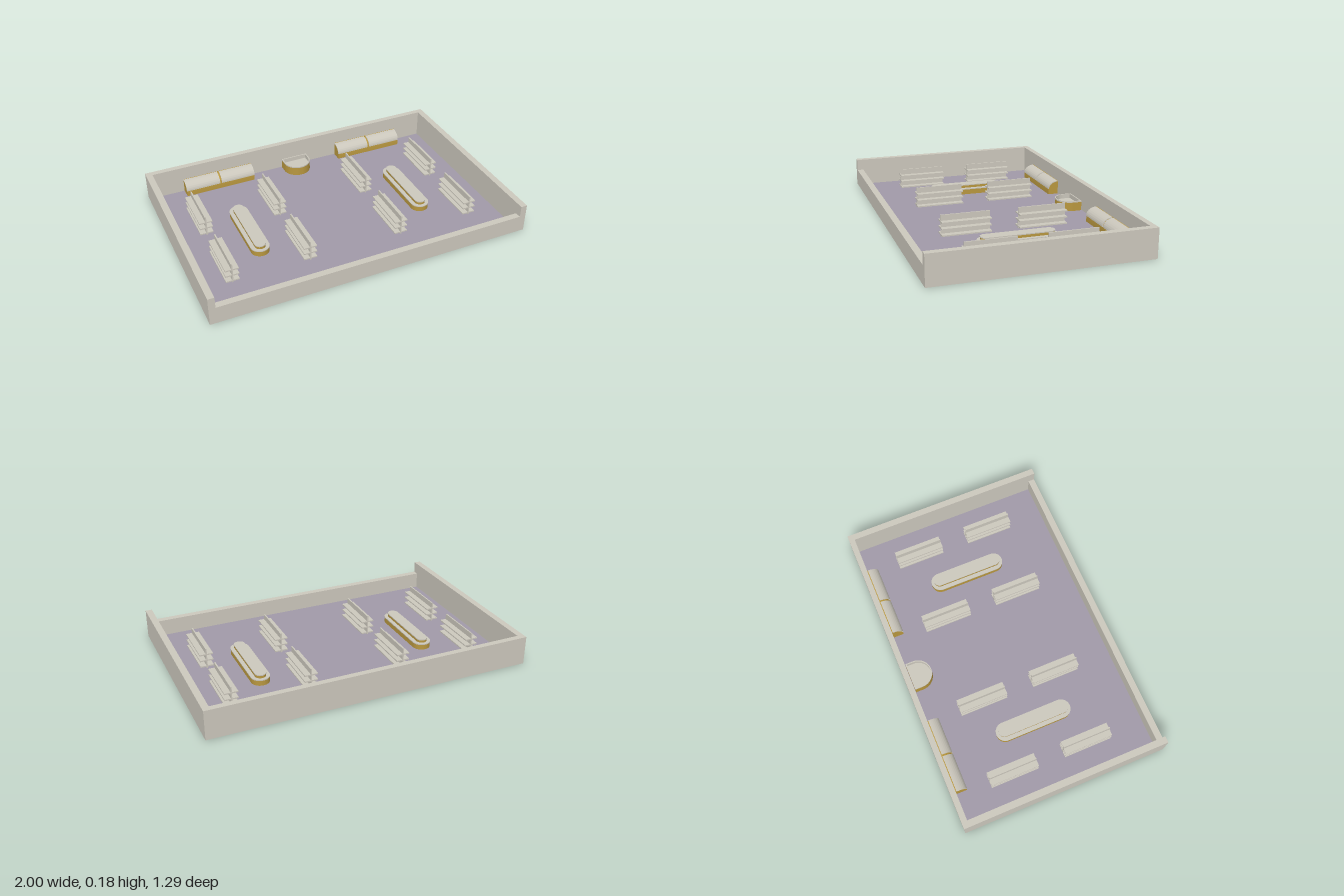
import * as THREE from 'three';
import { toCreasedNormals } from 'three/addons/utils/BufferGeometryUtils.js';

const FLOOR = 0.005;

export function createModel() {
  const stone = new THREE.MeshStandardMaterial({ color: 0xcbc7bc });
  stone.name = 'stone';
  const carpet = new THREE.MeshStandardMaterial({ color: 0xa099a7 });
  carpet.name = 'carpet';
  const wood = new THREE.MeshStandardMaterial({ color: 0xb8973f });
  wood.name = 'wood';

  const model = new THREE.Group();
  model.name = 'shopFloor';

  const group = (name, parent = model) => {
    const g = new THREE.Group();
    g.name = name;
    parent.add(g);
    return g;
  };
  const add = (parent, name, geometry, material) => {
    const mesh = new THREE.Mesh(geometry, material);
    mesh.name = name;
    parent.add(mesh);
    return mesh;
  };
  // Box given by its limits on each axis
  const box = (parent, name, material, [x0, x1], [y0, y1], [z0, z1]) => {
    const g = new THREE.BoxGeometry(x1 - x0, y1 - y0, z1 - z0);
    g.translate((x0 + x1) / 2, (y0 + y1) / 2, (z0 + z1) / 2);
    return add(parent, name, g, material);
  };
  const extrude = (shape, depth) => toCreasedNormals(
    new THREE.ExtrudeGeometry(shape, { depth, bevelEnabled: false, curveSegments: 16 }), 0.6);
  // Upright prism from a plan outline (shape y points to the back)
  const prism = (parent, name, material, shape, y0, y1) =>
    add(parent, name, extrude(shape, y1 - y0).rotateX(-Math.PI / 2).translate(0, y0, 0), material);

  // Room shell, with a low front wall
  const walls = group('walls');
  for (const s of [-1, 1])
    box(walls, 'sideWall', stone, s < 0 ? [-1, -0.96] : [0.96, 1], [0, 0.18], [-0.645, 0.645]);
  box(walls, 'backWall', stone, [-0.96, 0.96], [0, 0.18], [-0.645, -0.61]);
  box(walls, 'frontWall', stone, [-0.96, 0.96], [0, 0.108], [0.605, 0.645]);
  box(model, 'floor', carpet, [-0.96, 0.96], [0.001, FLOOR], [-0.61, 0.605]);

  // Double-sided shelf racks: a thin spine with three shelves
  const rack = (x, z) => {
    const g = group('shelfRack');
    box(g, 'spine', stone, [-0.004, 0.004], [FLOOR, 0.135], [-0.15, 0.15]);
    for (const y of [0.014, 0.053, 0.092])
      box(g, 'shelf', stone, [-0.041, 0.041], [y, y + 0.008], [-0.151, 0.151]);
    for (const end of [-0.12, 0.12])
      box(g, 'foot', stone, [-0.005, 0.005], [0, 0.014], [end - 0.005, end + 0.005]);
    g.position.set(x, 0, z);
  };
  for (const x of [-0.778, -0.3, 0.295, 0.774])
    for (const z of [-0.25, 0.227]) rack(x, z);

  // Stepped display islands with rounded ends
  const stadium = (r, halfLength) => {
    const c = halfLength - r;
    const s = new THREE.Shape();
    s.absarc(0, c, r, 0, Math.PI, false);
    s.absarc(0, -c, r, Math.PI, Math.PI * 2, false);
    s.closePath();
    return s;
  };
  for (const x of [-0.539, 0.535]) {
    const g = group('displayIsland');
    prism(g, 'base', wood, stadium(0.056, 0.241), FLOOR, 0.038);
    prism(g, 'ledge', stone, stadium(0.058, 0.243), 0.038, 0.044);
    prism(g, 'riser', wood, stadium(0.033, 0.223), 0.044, 0.06);
    prism(g, 'top', stone, stadium(0.035, 0.225), 0.06, 0.066);
    g.position.set(x, 0, -0.012);
  }

  // Service counter: D-shaped with a raised rim
  const counterPlan = (inset, Kind = THREE.Shape) => {
    const r = 0.088 - inset;
    const s = new Kind();
    s.moveTo(r, 0.605 - inset);
    s.lineTo(-r, 0.605 - inset);
    s.lineTo(-r, 0.555);
    s.absarc(0, 0.555, r, Math.PI, Math.PI * 2, false);
    s.closePath();
    return s;
  };
  const counter = group('serviceCounter');
  const rim = counterPlan(0);
  rim.holes.push(counterPlan(0.007, THREE.Path));
  const shell = counterPlan(0);
  shell.holes.push(counterPlan(0.004, THREE.Path));
  prism(counter, 'counterShell', wood, shell, 0.035, 0.06);
  prism(counter, 'counterBase', wood, counterPlan(0), 0, 0.035);
  prism(counter, 'counterLining', stone, (() => {
    const s = counterPlan(0.004);
    s.holes.push(counterPlan(0.007, THREE.Path));
    return s;
  })(), 0.035, 0.06);
  prism(counter, 'counterRim', stone, rim, 0.06, 0.068);
  prism(counter, 'counterTop', stone, counterPlan(0.007), 0.035, 0.04);

  // Wall cases: side profile (shape x points to the back) run along the wall
  const alongX = (parent, name, material, shape, x0, x1) =>
    add(parent, name, extrude(shape, x1 - x0).rotateY(Math.PI / 2).translate(x0, 0, 0), material);
  const body = new THREE.Shape();
  body.moveTo(0.609, FLOOR);
  body.lineTo(0.609, 0.094);
  body.lineTo(0.604, 0.094);
  body.absellipse(0.604, 0.042, 0.059, 0.047, Math.PI / 2, Math.PI, false);
  body.lineTo(0.541, 0.042);
  body.lineTo(0.541, FLOOR);
  body.closePath();
  const cover = new THREE.Shape();
  cover.absellipse(0.604, 0.042, 0.065, 0.053, Math.PI / 2, Math.PI, false);
  cover.absellipse(0.604, 0.042, 0.059, 0.047, Math.PI, Math.PI / 2, true);
  cover.closePath();
  for (const x of [-0.539, 0.535]) {
    const g = group('wallCase');
    alongX(g, 'caseBody', wood, body, -0.23, 0.23);
    alongX(g, 'rightCover', stone, cover, -0.231, -0.006);
    alongX(g, 'leftCover', stone, cover, 0.006, 0.231);
    g.position.x = x;
  }

  return model;
}
